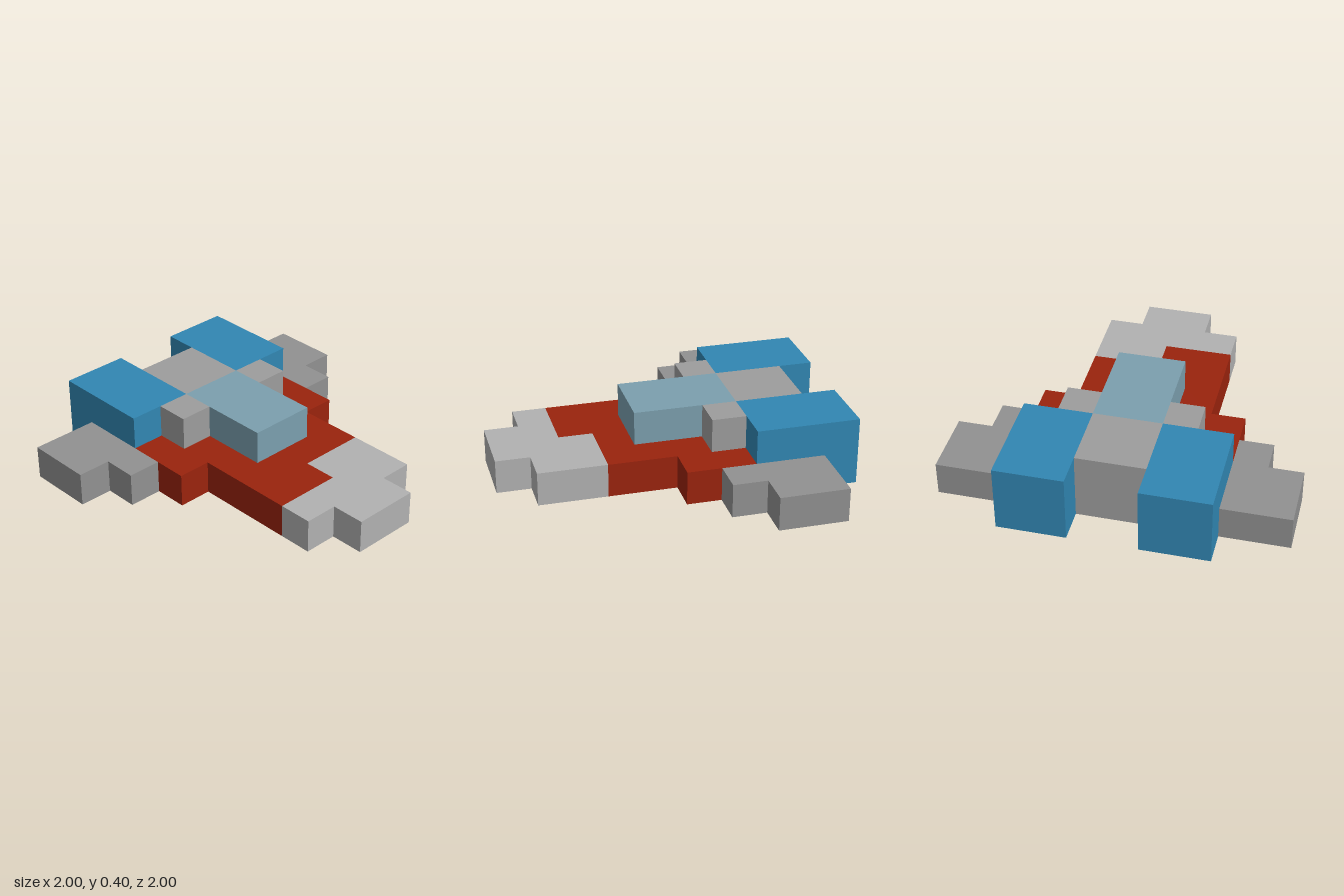
import * as THREE from 'three';

const paint = (color) => new THREE.MeshStandardMaterial({ color, flatShading: true });

// Flat slab: an outline of [x, z] points raised from y0 to y1
function slab(name, outline, y0, y1, material) {
  const shape = new THREE.Shape(outline.map(([x, z]) => new THREE.Vector2(x, -z)));
  const geometry = new THREE.ExtrudeGeometry(shape, { depth: y1 - y0, bevelEnabled: false });
  geometry.rotateX(-Math.PI / 2).translate(0, y0, 0);
  const mesh = new THREE.Mesh(geometry, material);
  mesh.name = name;
  return mesh;
}

// Box given by its limits on each axis
function block(name, [x0, x1], [y0, y1], [z0, z1], material) {
  const mesh = new THREE.Mesh(new THREE.BoxGeometry(x1 - x0, y1 - y0, z1 - z0), material);
  mesh.position.set((x0 + x1) / 2, (y0 + y1) / 2, (z0 + z1) / 2);
  mesh.name = name;
  return mesh;
}

export function createModel() {
  const group = new THREE.Group();
  group.name = 'blockSpaceship';
  const red = paint(0x9a230d);
  const blue = paint(0x3186b2);
  const glass = paint(0x7b9fae);
  const noseGrey = paint(0xb1b1b1);
  const bodyGrey = paint(0x9d9d9d);
  const wingGrey = paint(0x919191);

  // Red hull wrapped around the cockpit, with an uneven front edge
  group.add(slab('hull', [
    [-0.6, -0.4], [-0.2, -0.4], [-0.2, 0.2], [0.2, 0.2], [0.2, -0.4], [0.6, -0.4], [0.6, 0],
    [0.4, 0], [0.4, 0.4], [0, 0.4], [0, 0.6], [-0.4, 0.6], [-0.4, 0], [-0.6, 0],
  ], 0, 0.2, red));

  // Stepped nose that fits the hull edge
  group.add(slab('nose', [
    [0, 0.4], [0.4, 0.4], [0.4, 0.8], [0.2, 0.8], [0.2, 1],
    [-0.2, 1], [-0.2, 0.8], [-0.4, 0.8], [-0.4, 0.6], [0, 0.6],
  ], 0, 0.2, noseGrey));

  // Cockpit and the body behind it
  group.add(block('cockpit', [-0.2, 0.2], [0, 0.4], [-0.4, 0.2], glass));
  group.add(block('rearBody', [-0.2, 0.2], [0, 0.4], [-0.8, -0.4], bodyGrey));

  // Paired parts
  for (const [side, s] of [['left', 1], ['right', -1]]) {
    const span = (a, b) => (s > 0 ? [a, b] : [-b, -a]);
    group.add(block(side + 'Engine', span(0.2, 0.6), [0, 0.4], [-1, -0.4], blue));
    group.add(block(side + 'Shoulder', span(0.2, 0.4), [0.2, 0.4], [-0.4, -0.2], bodyGrey));
    group.add(slab(side + 'Wing', [
      [0.6, -0.8], [1, -0.8], [1, -0.4], [0.8, -0.4], [0.8, -0.2], [0.6, -0.2],
    ].map(([x, z]) => [s * x, z]), 0, 0.2, wingGrey));
  }
  return group;
}
